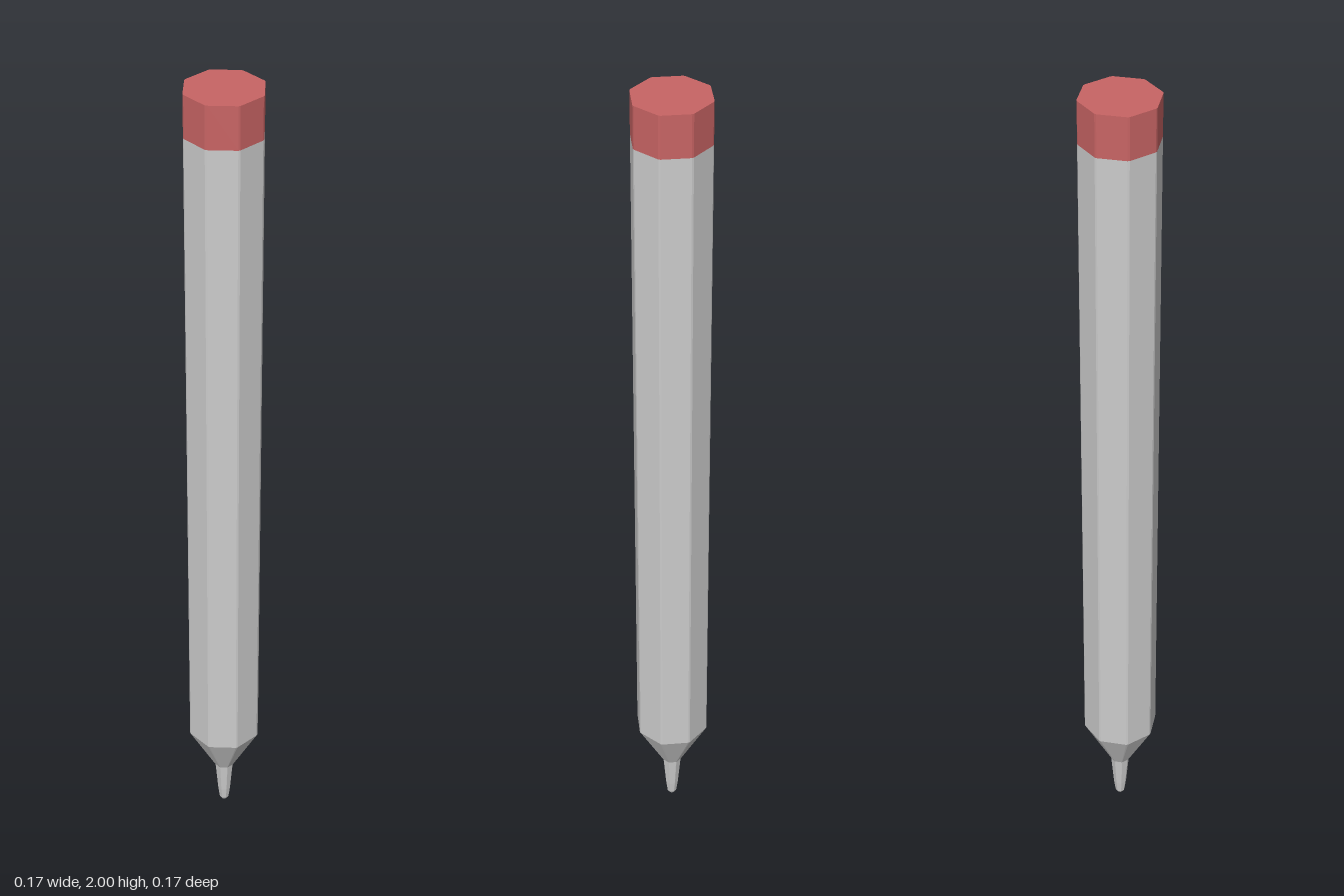
import * as THREE from 'three';

// Octagonal solid of revolution with narrow chamfers on its corners.
// profile: [apothem, y] pairs from bottom to top; flats face the x and z axes.
function octagon(name, profile, color) {
  const points = profile.map(([r, y]) => new THREE.Vector2(r, y));
  const geometry = new THREE.LatheGeometry(points, 16);
  const pos = geometry.attributes.position;
  const chamfer = THREE.MathUtils.degToRad(1.5);
  const scale = 1 / Math.cos(Math.PI / 8 - chamfer);
  for (let i = 0; i < pos.count; i++) {
    const [r, y] = profile[i % profile.length];
    const column = Math.floor(i / profile.length) % 16;
    // Gather the 16 columns in pairs around the eight corners
    const corner = Math.PI / 8 + Math.floor(column / 2) * Math.PI / 4;
    const angle = corner + (column % 2 ? chamfer : -chamfer);
    pos.setXYZ(i, r * scale * Math.sin(angle), y, r * scale * Math.cos(angle));
  }
  geometry.computeVertexNormals();
  const mesh = new THREE.Mesh(geometry, new THREE.MeshStandardMaterial({ color, flatShading: true }));
  mesh.name = name;
  return mesh;
}

export function createModel() {
  const model = new THREE.Group();
  model.name = 'pen';

  // Long barrel tapering to a collar at the bottom
  model.add(octagon('barrel', [[0, 0.125], [0.023, 0.125], [0.084, 0.25], [0.084, 1.9]], 0xcccccc));

  // Slim writing tip with a blunt, rounded end
  model.add(octagon('tip', [[0, 0], [0.007, 0.001], [0.011, 0.008], [0.015, 0.04], [0.022, 0.127]], 0xcccccc));

  // Red end cap
  model.add(octagon('endCap', [[0.084, 1.9], [0.084, 2], [0, 2]], 0xc86464));

  return model;
}
